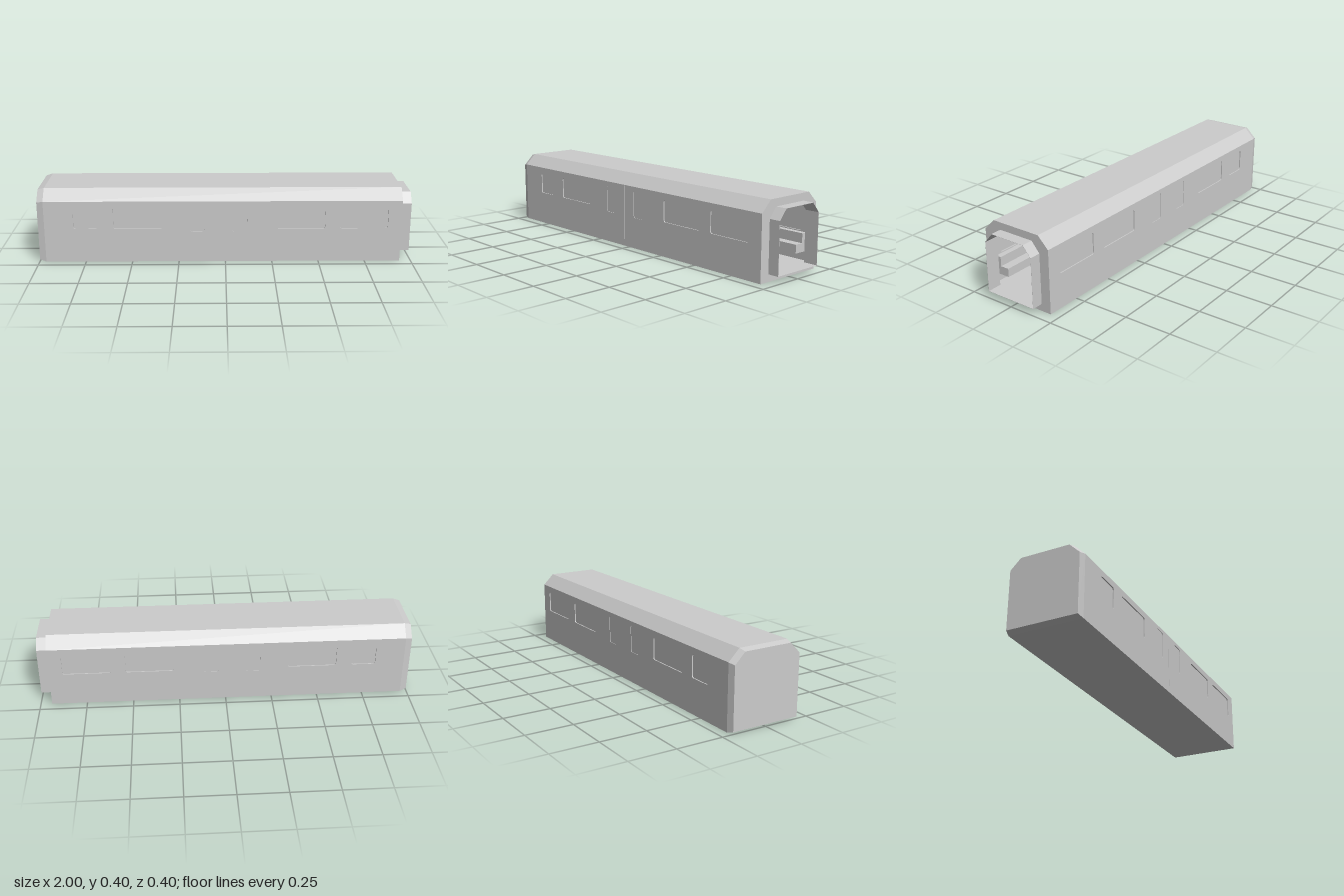
import * as THREE from 'three';

const grey = new THREE.MeshStandardMaterial({ color: 0xcccccc, flatShading: true, side: THREE.DoubleSide });
const X0 = -0.965, X1 = 0.94, WALL = 0.018, FLOOR = 0.036;

// Cross-sections as [z, y] for the right half, bottom to top
const OUTER = [[0.2, 0], [0.2, 0.338], [0.14, 0.397]];
const TUNNEL = [[0.145, 0.038], [0.145, 0.305], [0.1, 0.358]];

function mirrored(half) {
  const all = half.concat(half.slice().reverse().map(([z, y]) => [-z, y]));
  return all.map(([z, y]) => new THREE.Vector2(z, y));
}

function part(group, name, geometry) {
  const mesh = new THREE.Mesh(geometry, grey);
  mesh.name = name;
  group.add(mesh);
  return mesh;
}

function box(group, name, x0, x1, y0, y1, z0, z1) {
  const mesh = part(group, name, new THREE.BoxGeometry(x1 - x0, y1 - y0, Math.abs(z1 - z0)));
  mesh.position.set((x0 + x1) / 2, (y0 + y1) / 2, (z0 + z1) / 2);
  return mesh;
}

// Extrude a z-y cross-section along x
function alongX(shape, x0, x1) {
  const g = new THREE.ExtrudeGeometry(shape, { depth: x1 - x0, bevelEnabled: false });
  return g.rotateY(Math.PI / 2).translate(x0, 0, 0);
}

function roundedHole(x0, x1, y0, y1, r) {
  const p = new THREE.Path();
  p.moveTo(x0 + r, y0);
  p.lineTo(x1 - r, y0);
  p.quadraticCurveTo(x1, y0, x1, y0 + r);
  p.lineTo(x1, y1 - r);
  p.quadraticCurveTo(x1, y1, x1 - r, y1);
  p.lineTo(x0 + r, y1);
  p.quadraticCurveTo(x0, y1, x0, y1 - r);
  p.lineTo(x0, y0 + r);
  p.quadraticCurveTo(x0, y0, x0 + r, y0);
  return p;
}

// Openings: x range, y range, corner radius, pane inset
const WINDOWS = [
  [-0.81, -0.68, 0.185, 0.303, 0.012, 0.006],
  [-0.597, -0.335, 0.185, 0.303, 0.012, 0.006],
  [0.275, 0.533, 0.185, 0.303, 0.012, 0.006],
  [0.61, 0.868, 0.185, 0.303, 0.012, 0.006],
  [-0.188, -0.11, 0.168, 0.318, 0.014, 0.003],
  [0.038, 0.116, 0.168, 0.318, 0.014, 0.003],
];
const DOOR_SEAM = [-0.038, -0.034, 0.036, 0.334, 0.001, 0.006];

function sideWall(group, s) {
  const openings = s > 0 ? [...WINDOWS, DOOR_SEAM] : WINDOWS;
  const shape = new THREE.Shape([
    new THREE.Vector2(X0, 0), new THREE.Vector2(X1, 0),
    new THREE.Vector2(X1, 0.338), new THREE.Vector2(X0, 0.338),
  ]);
  for (const [a, b, c, d, r] of openings) shape.holes.push(roundedHole(a, b, c, d, r));
  const g = new THREE.ExtrudeGeometry(shape, { depth: WALL, bevelEnabled: false, curveSegments: 4 });
  part(group, 'sideWall', g.translate(0, 0, s > 0 ? 0.2 - WALL : -0.2));

  // Panes set into the openings
  for (const [a, b, c, d, , inset] of openings) {
    const name = b - a < 0.01 ? 'doorSeam' : 'windowPane';
    box(group, name, a - 0.002, b + 0.002, c - 0.002, d + 0.002, s * (0.2 - inset), s * (0.196 - inset));
  }

  // Benches either side of the doors
  for (const [a, b] of [[-0.92, -0.25], [0.18, 0.9]]) {
    const bench = new THREE.Group();
    bench.name = 'bench';
    box(bench, 'seat', a, b, 0.085, 0.13, s * 0.105, s * 0.182);
    box(bench, 'seatBack', a, b, 0.13, 0.18, s * 0.152, s * 0.182);
    group.add(bench);
  }
}

export function createModel() {
  const model = new THREE.Group();
  model.name = 'railCarriage';

  for (const s of [1, -1]) sideWall(model, s);
  box(model, 'floor', X0, X1, 0, FLOOR, -0.2 + WALL, 0.2 - WALL);

  // Roof shell with chamfered shoulders
  const roof = new THREE.Shape([
    [0.2, 0.338], [0.14, 0.397], [-0.14, 0.397], [-0.2, 0.338],
    [-0.182, 0.338], [-0.132, 0.379], [0.132, 0.379], [0.182, 0.338],
  ].map(([z, y]) => new THREE.Vector2(z, y)));
  part(model, 'roof', alongX(roof, X0, X1));

  // Closed end, narrowing slightly outwards
  const end = alongX(new THREE.Shape(mirrored(OUTER)), -1, X0);
  const p = end.attributes.position;
  for (let i = 0; i < p.count; i++) {
    if (p.getX(i) < -0.99) p.setXYZ(i, -1, 0.2 + (p.getY(i) - 0.2) * 0.95, p.getZ(i) * 0.95);
  }
  end.computeVertexNormals();
  part(model, 'closedEnd', end);

  // Open end wall with its doorway
  const wall = new THREE.Shape(mirrored(OUTER));
  wall.holes.push(new THREE.Path(mirrored(TUNNEL)));
  part(model, 'openEndWall', alongX(wall, X1 - WALL, X1));

  // Thin gangway sleeve around the doorway
  const sleeve = new THREE.Shape(mirrored(TUNNEL));
  const inner = TUNNEL.map(([z, y], i) => [z - 0.001, y + (i ? -0.001 : 0.001)]);
  sleeve.holes.push(new THREE.Path(mirrored(inner)));
  part(model, 'gangway', alongX(sleeve, X1 - WALL, 1));

  return model;
}
